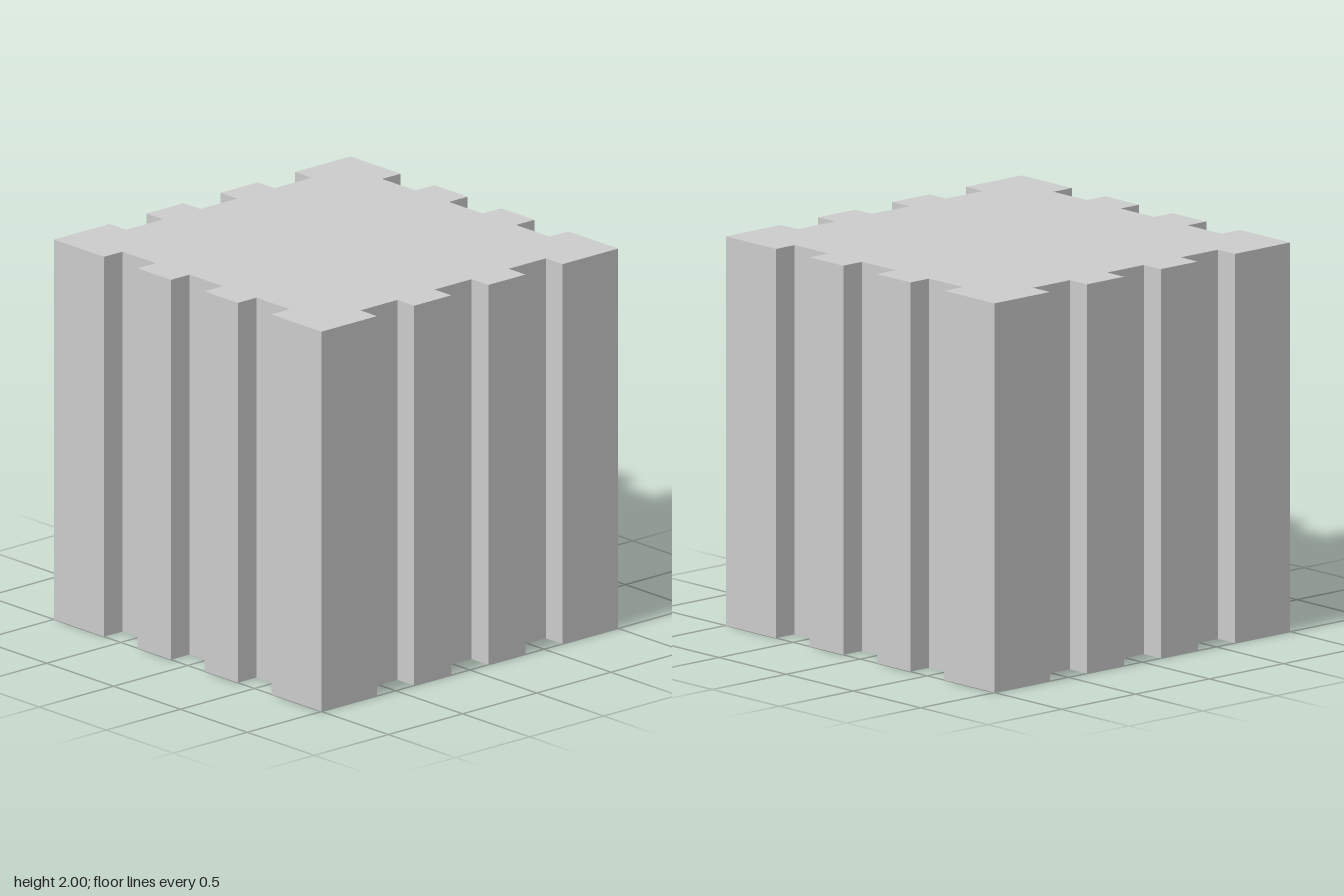
import * as THREE from 'three';

const HALF = 1, HEIGHT = 2;
const SLOT_WIDTH = 0.25, SLOT_DEPTH = 0.125;
const SLOT_CENTRES = [-0.5, 0, 0.5];

// Outline of one side, from its first corner up to the next corner
function sidePoints() {
  const points = [new THREE.Vector2(-HALF, -HALF)];
  for (const c of SLOT_CENTRES) {
    const a = c - SLOT_WIDTH / 2, b = c + SLOT_WIDTH / 2;
    points.push(
      new THREE.Vector2(a, -HALF),
      new THREE.Vector2(a, -HALF + SLOT_DEPTH),
      new THREE.Vector2(b, -HALF + SLOT_DEPTH),
      new THREE.Vector2(b, -HALF)
    );
  }
  return points;
}

export function createModel() {
  const group = new THREE.Group();
  group.name = 'groovedBlock';

  // The same slotted side turned around the four sides of the square
  const outline = [];
  const centre = new THREE.Vector2();
  for (let i = 0; i < 4; i++) {
    for (const p of sidePoints()) outline.push(p.rotateAround(centre, i * Math.PI / 2));
  }

  // Slotted outline raised to full height
  const geometry = new THREE.ExtrudeGeometry(new THREE.Shape(outline), {
    depth: HEIGHT,
    bevelEnabled: false
  });
  geometry.rotateX(-Math.PI / 2);

  const block = new THREE.Mesh(
    geometry,
    new THREE.MeshStandardMaterial({ color: 0xcccccc, flatShading: true })
  );
  block.name = 'slottedBlock';
  group.add(block);
  return group;
}
